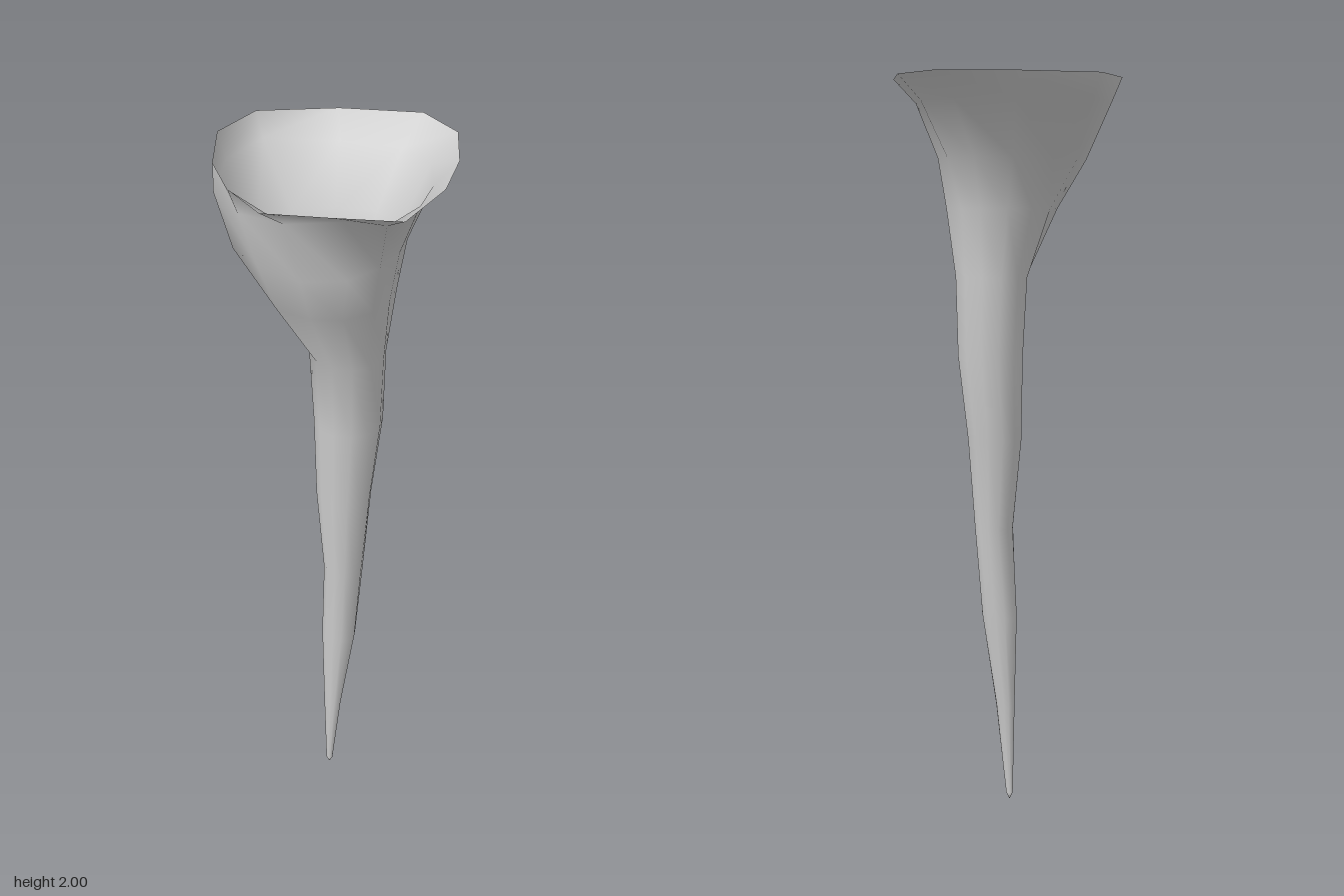
import * as THREE from 'three';

const SIDES = 12;

// Flared mouth: irregular rings of x, z pairs, running from the back round by +x
const mouth = [
  { y: 2.0, p: [-0.02, -0.34, 0.16, -0.24, 0.315, -0.1, 0.31, 0.045, 0.21, 0.18, 0.09, 0.285,
    -0.06, 0.34, -0.2, 0.26, -0.315, 0.155, -0.31, 0.015, -0.265, -0.13, -0.165, -0.28] },
  { y: 1.94, p: [-0.02, -0.31, 0.13, -0.19, 0.23, -0.07, 0.23, 0.05, 0.16, 0.15, 0.07, 0.22,
    -0.05, 0.26, -0.12, 0.19, -0.235, 0.125, -0.29, 0.02, -0.28, -0.105, -0.16, -0.25] },
  { y: 1.8, p: [-0.03, -0.165, 0.07, -0.12, 0.14, -0.05, 0.15, 0.04, 0.12, 0.11, 0.06, 0.16,
    -0.02, 0.195, -0.12, 0.205, -0.21, 0.15, -0.25, 0.03, -0.25, -0.08, -0.14, -0.15] },
  { y: 1.67, p: [-0.02, -0.1, 0.05, -0.08, 0.1, -0.03, 0.11, 0.03, 0.1, 0.1, 0.05, 0.14,
    -0.02, 0.168, -0.1, 0.16, -0.16, 0.11, -0.2, 0.03, -0.18, -0.04, -0.1, -0.09] },
];

// Tapering shaft: y, then the left/right and back/front limits of each oval ring
const shaft = [
  [1.49, -0.09, 0.1, -0.075, 0.13],
  [1.28, -0.08, 0.1, -0.065, 0.115],
  [1.05, -0.075, 0.07, -0.055, 0.1],
  [0.8, -0.065, 0.045, -0.02, 0.085],
  [0.55, -0.062, 0.03, -0.035, 0.07],
  [0.28, -0.06, -0.015, -0.014, 0.045],
  [0.02, -0.05, -0.032, -0.008, 0.012],
];

function createSpike() {
  const pos = [];
  const index = [];
  for (const { y, p } of mouth) {
    for (let i = 0; i < SIDES; i++) {
      const dip = y === 2 && i === 6 ? 0.015 : 0; // the lip sags slightly at the front
      pos.push(p[2 * i], y - dip, p[2 * i + 1]);
    }
  }
  for (const [y, x0, x1, z0, z1] of shaft) {
    for (let i = 0; i < SIDES; i++) {
      const t = (i / SIDES) * Math.PI * 2;
      pos.push((x0 + x1) / 2 + (Math.sin(t) * (x1 - x0)) / 2, y,
        (z0 + z1) / 2 - (Math.cos(t) * (z1 - z0)) / 2);
    }
  }
  // Skin between neighbouring rings
  const rings = mouth.length + shaft.length;
  for (let r = 0; r < rings - 1; r++) {
    for (let i = 0; i < SIDES; i++) {
      const a = r * SIDES + i;
      const b = r * SIDES + ((i + 1) % SIDES);
      index.push(a, b, a + SIDES, b, b + SIDES, a + SIDES);
    }
  }
  // Blunt closed tip
  const tip = pos.length / 3;
  pos.push(-0.041, 0, 0.002);
  for (let i = 0; i < SIDES; i++) {
    index.push((rings - 1) * SIDES + i, (rings - 1) * SIDES + ((i + 1) % SIDES), tip);
  }
  const geo = new THREE.BufferGeometry();
  geo.setAttribute('position', new THREE.Float32BufferAttribute(pos, 3));
  geo.setIndex(index);
  geo.computeVertexNormals();
  return geo;
}

export function createModel() {
  const group = new THREE.Group();
  group.name = 'stalactite';
  const material = new THREE.MeshStandardMaterial({ color: 0xcccccc, side: THREE.DoubleSide });
  const spike = new THREE.Mesh(createSpike(), material);
  spike.name = 'hollowSpike';
  group.add(spike);
  return group;
}
